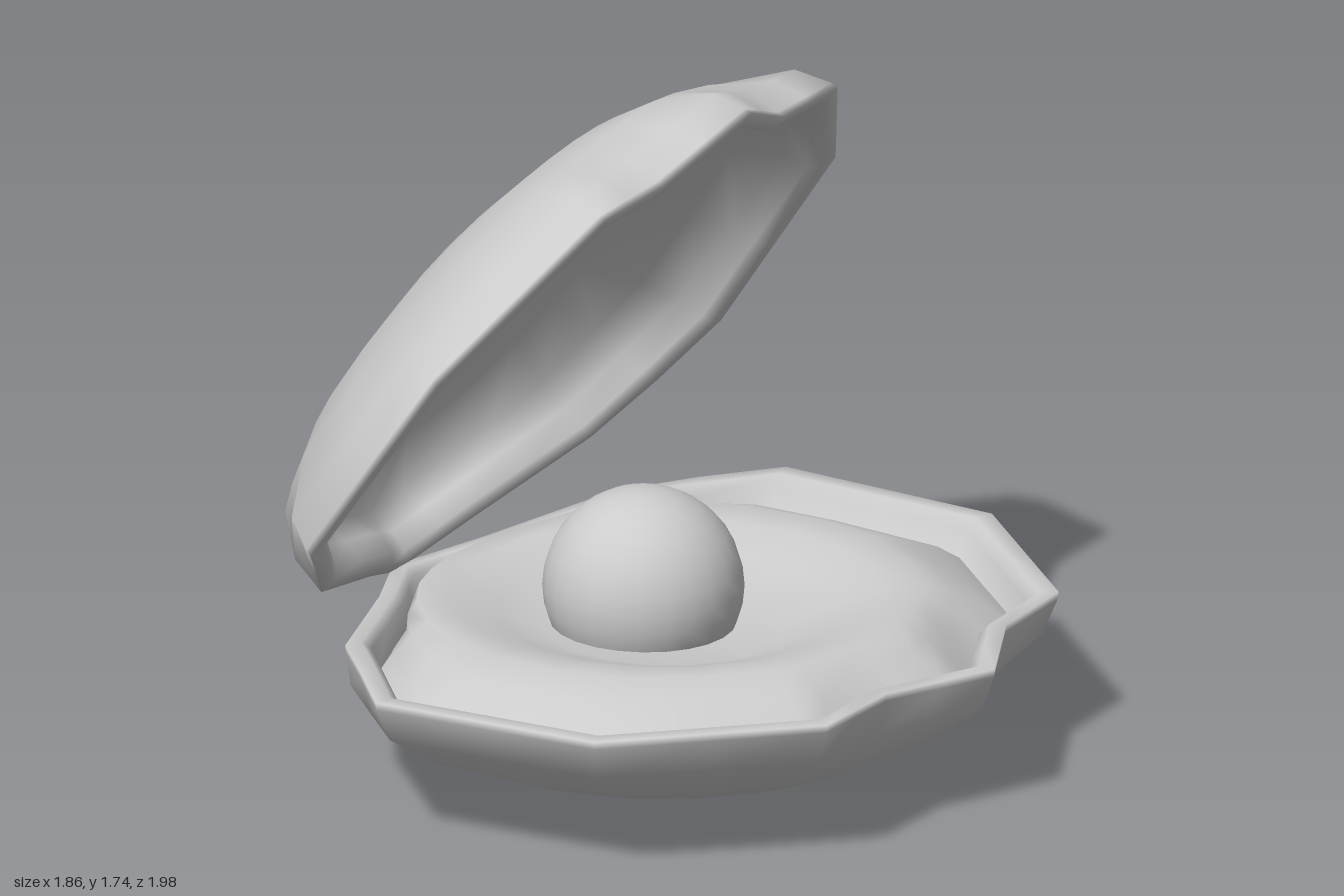
import * as THREE from 'three';

const material = new THREE.MeshStandardMaterial({ color: 0xcccccc, roughness: 0.7, side: THREE.DoubleSide });

// Half of the scalloped rim, from the front tip round to the hinge: [x, z]
const HALF = [[0.92, 0], [0.78, 0.29], [0.77, 0.56], [0.34, 0.96], [-0.27, 0.99], [-0.56, 0.65], [-0.70, 0.25], [-0.81, 0]];
const corners = [...HALF, ...HALF.slice(1, -1).reverse().map(([x, z]) => [x, -z])];

// Each straight rim edge is split once so the inner rings can be rounder
const outline = corners.flatMap(([x, z], i) => {
  const [nx, nz] = corners[(i + 1) % corners.length];
  return [[x, z], [(x + nx) / 2, (z + nz) / 2]];
});

// Joins rings [scale, blend, y]; blend 0 is a circle and 1 is the scalloped rim
function loft(rings) {
  const n = outline.length, positions = [], index = [];
  for (const [s, blend, y] of rings) {
    for (const [x, z] of outline) {
      const a = Math.atan2(z, x + 0.05);
      const px = s * THREE.MathUtils.lerp(Math.cos(a) - 0.05, x, blend);
      const pz = s * THREE.MathUtils.lerp(Math.sin(a), z, blend);
      // The rim dips slightly towards the hinge
      const dip = 0.05 * THREE.MathUtils.clamp((-0.5 - px) / 0.31, 0, 1) * (y / 0.38);
      positions.push(px, y - dip, pz);
    }
  }
  const id = (i, j) => i * n + (rings[i][0] === 0 ? 0 : j % n);
  for (let i = 0; i < rings.length - 1; i++) {
    for (let j = 0; j < n; j++) {
      const a = id(i, j), b = id(i, j + 1), c = id(i + 1, j), d = id(i + 1, j + 1);
      if (a !== b) index.push(a, c, b);
      if (c !== d) index.push(b, c, d);
    }
  }
  const geometry = new THREE.BufferGeometry();
  geometry.setAttribute('position', new THREE.Float32BufferAttribute(positions, 3));
  geometry.setIndex(index);
  geometry.computeVertexNormals();
  return geometry;
}

export function createModel() {
  const group = new THREE.Group();
  const add = (name, geometry) => {
    const mesh = new THREE.Mesh(geometry, material);
    mesh.name = name;
    group.add(mesh);
    return mesh;
  };

  // Thick bowl: outside, rolled lip, then inside
  const shell = loft([
    [0, 0, 0], [0.335, 0, 0.02], [0.6, 0, 0.08], [0.79, 0.3, 0.16], [0.955, 0.85, 0.27],
    [0.997, 1, 0.36], [1, 1, 0.38], [0.95, 1, 0.38], [0.92, 1, 0.355], [0.9, 1, 0.29],
    [0.8, 0.6, 0.21], [0.55, 0.1, 0.13], [0.3, 0, 0.095], [0, 0, 0.08],
  ]);
  add('lowerShell', shell);

  // The same shell turned over and swung open on the hinge
  const lid = add('upperShell', shell);
  lid.rotation.set(Math.PI, 0, -THREE.MathUtils.degToRad(55.4));
  lid.position.set(-0.615, 1.169, 0);

  // Soft bed with a raised ring and a hollow for the pearl
  add('bed', loft([
    [0.91, 1, 0.28], [0.83, 0.9, 0.335], [0.73, 0.5, 0.38], [0.64, 0.15, 0.412],
    [0.54, 0, 0.405], [0.42, 0, 0.365], [0.3, 0, 0.325], [0, 0, 0.31],
  ]));

  const pearl = add('pearl', new THREE.SphereGeometry(0.25, 24, 16));
  pearl.position.set(-0.09, 0.415, 0);

  return group;
}
